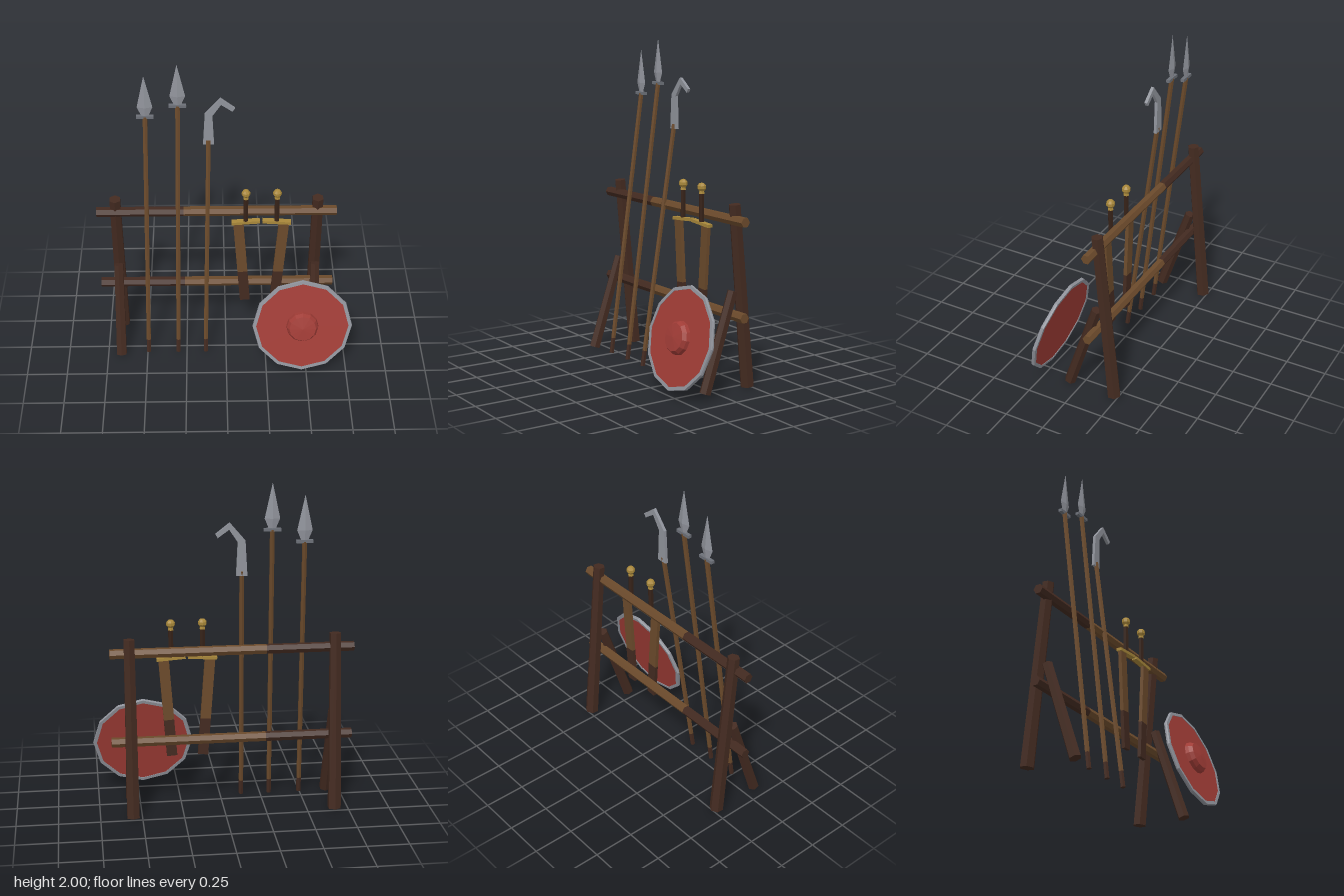
import * as THREE from 'three';

const mat = (name, color, extra = {}) => {
  const m = new THREE.MeshStandardMaterial({ color, flatShading: true, ...extra });
  m.name = name;
  return m;
};

export function createModel() {
  const darkWood = mat('dark wood', 0x432a20);
  const brownWood = mat('brown wood', 0x6b4a2b);
  const leather = mat('grip leather', 0x362218);
  const steel = mat('steel', 0x90939b);
  const iron = mat('iron', 0x6c7078);
  const brass = mat('brass', 0xa8873a);
  const red = mat('red paint', 0xa03c36);

  const model = new THREE.Group();
  model.name = 'weaponRack';

  const add = (parent, name, geometry, material, x = 0, y = 0, z = 0) => {
    const mesh = new THREE.Mesh(geometry, material);
    mesh.name = name;
    mesh.position.set(x, y, z);
    parent.add(mesh);
    return mesh;
  };
  const group = (name, x, y, z) => {
    const g = new THREE.Group();
    g.name = name;
    g.position.set(x, y, z);
    model.add(g);
    return g;
  };
  const V = (x, y, z) => new THREE.Vector3(x, y, z);
  const P = pts => pts.map(p => new THREE.Vector2(...p));

  // Six-sided pole between two points
  const pole = (name, a, b, rA, rB, material) => {
    const dir = b.clone().sub(a);
    const mesh = add(model, name, new THREE.CylinderGeometry(rB, rA, dir.length(), 6), material);
    mesh.position.copy(a).add(b).multiplyScalar(0.5);
    mesh.quaternion.setFromUnitVectors(V(0, 1, 0), dir.normalize());
  };

  // Frame: leaning posts with front braces
  for (const x of [-0.665, 0.555]) {
    pole('post', V(x, 0.01, -0.225), V(x, 1.09, -0.122), 0.042, 0.036, darkWood);
    pole('brace', V(x, 0.012, 0.078), V(x, 0.59, -0.113), 0.035, 0.031, darkWood);
  }
  // Rails, stained darker at one end
  for (const y of [1.002, 0.45]) {
    pole('railDarkEnd', V(-0.78, y, -0.113), V(-0.255, y, -0.113), 0.03, 0.03, darkWood);
    pole('rail', V(-0.255, y, -0.113), V(0.67, y, -0.113), 0.03, 0.03, brownWood);
  }

  // Polearm shafts with dark butts
  const shaft = (x0, x1, top) => {
    const a = V(x0, 0.01, 0.056), b = V(x1, top, -0.155);
    const m = a.clone().lerp(b, 0.095 / (top - 0.01));
    pole('shaftButt', a, m, 0.015, 0.015, darkWood);
    pole('shaft', m, b, 0.015, 0.015, brownWood);
  };

  // Spears
  for (const [x0, x1, top] of [[-0.493, -0.464, 1.655], [-0.304, -0.275, 1.728]]) {
    shaft(x0, x1, top);
    const head = group('spearHead', x1, top, -0.155);
    add(head, 'spearCrossbar', new THREE.BoxGeometry(0.1, 0.018, 0.022), iron);
    const blade = new THREE.LatheGeometry(P([[0, 0], [0.02, 0.005], [0.045, 0.065], [0, 0.272]]), 4);
    add(head, 'spearBlade', blade, steel).scale.z = 0.3;
  }

  // Hooked polearm
  shaft(-0.13, -0.1, 1.49);
  const hook = new THREE.Shape(P([
    [-0.132, 1.463], [-0.067, 1.463], [-0.076, 1.66], [-0.026, 1.735],
    [0.04, 1.688], [0.053, 1.71], [-0.03, 1.775], [-0.12, 1.67],
  ]));
  add(model, 'hookBlade', new THREE.ExtrudeGeometry(hook, { depth: 0.018, bevelEnabled: false }),
    steel, 0, 0, -0.166);

  // Sheathed swords hanging from the top rail, mirrored
  for (const [x, s] of [[0.12, 1], [0.307, -1]]) {
    const sword = group('sword', x, 0, -0.07);
    add(sword, 'grip', new THREE.CylinderGeometry(0.016, 0.016, 0.18, 6), leather, 0, 1.045);
    add(sword, 'pommelCollar', new THREE.CylinderGeometry(0.014, 0.018, 0.02, 6), brass, 0, 1.135);
    add(sword, 'pommel', new THREE.SphereGeometry(0.027, 8, 5), brass, 0, 1.163);
    add(sword, 'crossguard', new THREE.BoxGeometry(0.172, 0.018, 0.034), brass, 0, 0.952)
      .rotation.z = s * 0.073;
    const scabbard = new THREE.Group();
    scabbard.name = 'scabbard';
    scabbard.position.set(0, 0.337, 0);
    scabbard.rotation.z = s * 0.073;
    sword.add(scabbard);
    add(scabbard, 'scabbardTip', new THREE.BoxGeometry(0.062, 0.23, 0.022), darkWood, 0, 0.115);
    add(scabbard, 'scabbardBody', new THREE.BoxGeometry(0.062, 0.385, 0.022), brownWood, 0, 0.4225);
  }

  // Twelve-sided shield, tilted back
  const shield = group('shield', 0.468, 0.338, 0.188);
  shield.rotation.x = Math.PI / 2 - 0.257;
  add(shield, 'shieldFace', new THREE.CylinderGeometry(0.292, 0.292, 0.014, 12), red);
  const rim = [[0.285, -0.01], [0.305, -0.01], [0.308, 0], [0.305, 0.01], [0.285, 0.01], [0.285, -0.01]];
  add(shield, 'shieldRim', new THREE.LatheGeometry(P(rim), 12), steel);
  const boss = [[0.1, 0.005], [0.096, 0.028], [0.082, 0.05], [0, 0.058]];
  add(shield, 'shieldBoss', new THREE.LatheGeometry(P(boss), 12), red);

  return model;
}
